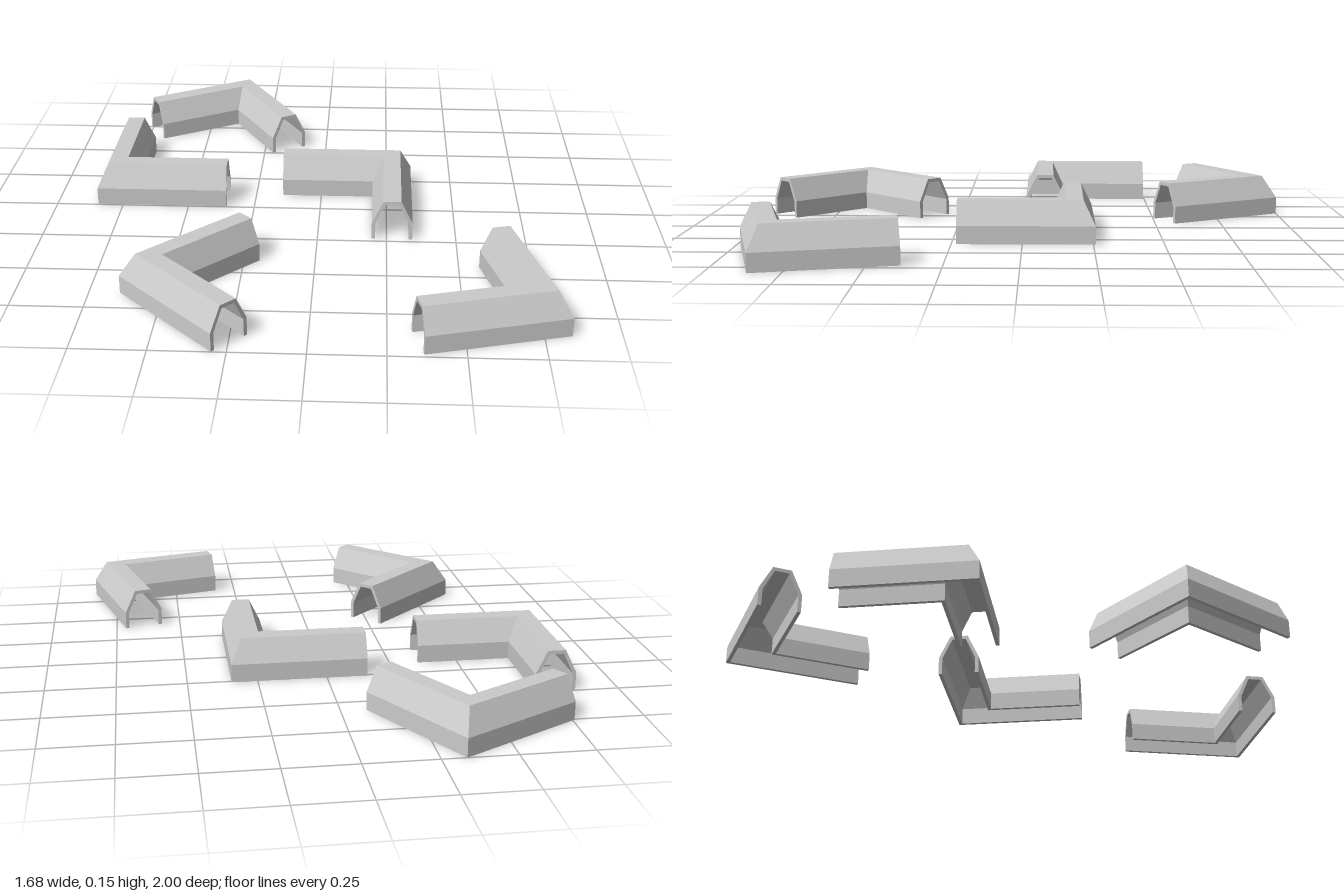
import * as THREE from 'three';

// Length of each arm, measured along the outside edge
const ARM = 0.49;

// Cross-section of the hollow channel: [distance from outside edge, height]
const OUTER = [[0, 0], [0, 0.065], [0.042, 0.15], [0.106, 0.15], [0.147, 0.065], [0.147, 0]];
const INNER = [[0.013, 0], [0.013, 0.062], [0.049, 0.137], [0.099, 0.137], [0.134, 0.062], [0.134, 0]];

// Outside corner [x, z] and turn in degrees of every piece
const PIECES = [
  { name: 'backCornerChannel', x: -0.333, z: -1.0, turn: -60 },
  { name: 'rightCornerChannel', x: -0.845, z: -0.005, turn: 90 },
  { name: 'middleCornerChannel', x: 0.343, z: -0.258, turn: -90 },
  { name: 'frontRightCornerChannel', x: -0.645, z: 0.652, turn: 45 },
  { name: 'frontLeftCornerChannel', x: 0.84, z: 0.86, turn: 195 },
];

// Mitred L-shaped channel: corner at the origin, arms along +x and +z
function cornerChannelGeometry() {
  const positions = [];
  const quad = (a, b, c, d) => positions.push(...a, ...b, ...c, ...a, ...c, ...d);
  const stations = [
    ([d, y]) => [ARM, y, d], // end of the x arm
    ([d, y]) => [d, y, d], // mitre
    ([d, y]) => [d, y, ARM], // end of the z arm
  ];

  // Skin: outside, underside rims and hollow inside
  const loop = [...OUTER, ...[...INNER].reverse()];
  for (let k = 0; k < 2; k++) {
    const from = stations[k], to = stations[k + 1];
    loop.forEach((p, i) => {
      const q = loop[(i + 1) % loop.length];
      quad(from(p), to(p), to(q), from(q));
    });
  }

  // Thin arch-shaped caps at both ends
  for (let i = 0; i < OUTER.length - 1; i++) {
    const ring = [OUTER[i], OUTER[i + 1], INNER[i + 1], INNER[i]];
    quad(...ring.map(stations[0]));
    quad(...ring.map(stations[2]).reverse());
  }

  const geometry = new THREE.BufferGeometry();
  geometry.setAttribute('position', new THREE.Float32BufferAttribute(positions, 3));
  geometry.computeVertexNormals();
  return geometry;
}

export function createModel() {
  const group = new THREE.Group();
  group.name = 'cornerChannels';
  const geometry = cornerChannelGeometry();
  const material = new THREE.MeshStandardMaterial({ color: 0xcccccc, flatShading: true });

  for (const { name, x, z, turn } of PIECES) {
    const piece = new THREE.Mesh(geometry, material);
    piece.name = name;
    piece.position.set(x, 0, z);
    piece.rotation.y = THREE.MathUtils.degToRad(turn);
    group.add(piece);
  }
  return group;
}
